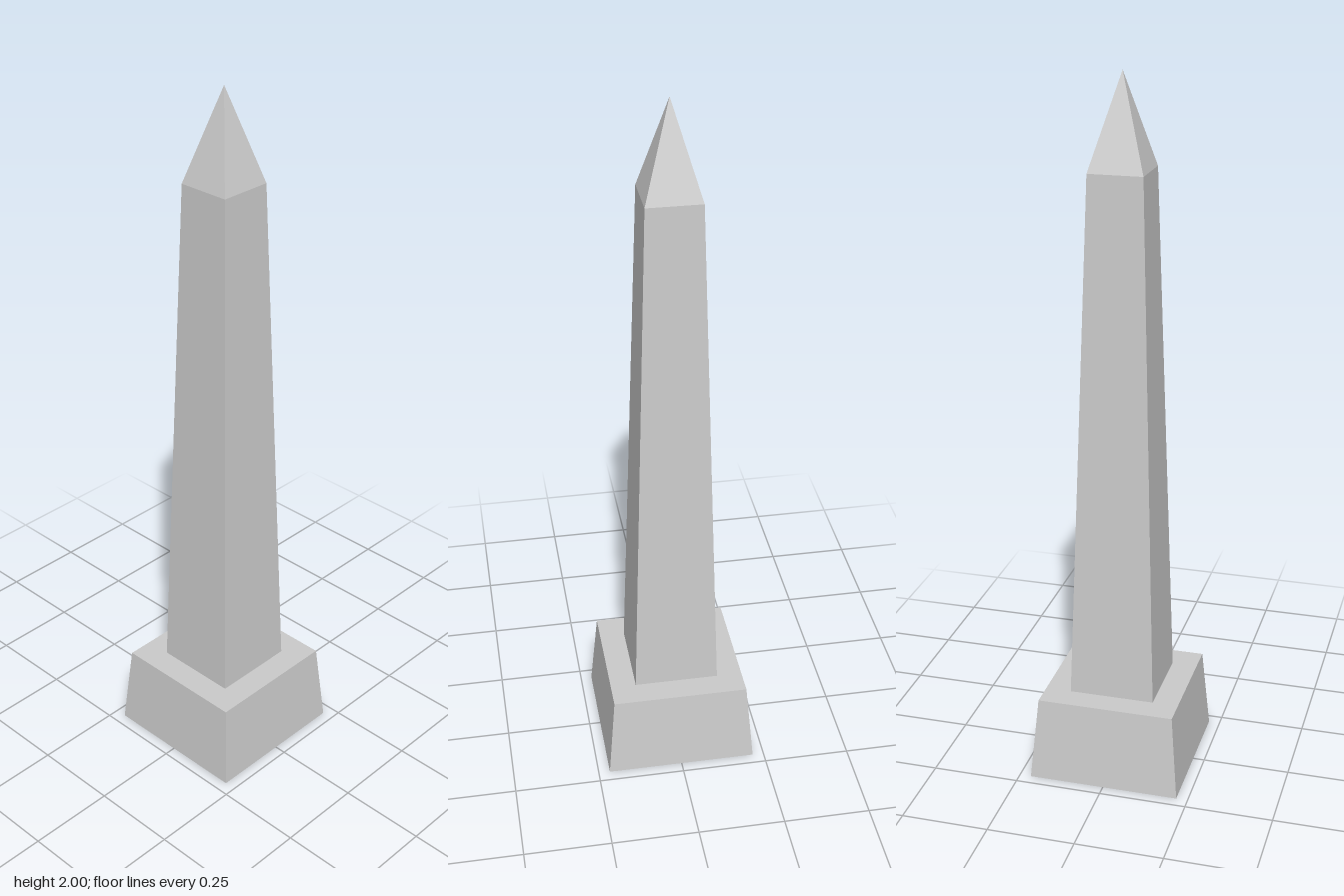
import * as THREE from 'three';

const material = new THREE.MeshStandardMaterial({ color: 0xcccccc, flatShading: true });

// Square tapered block from y0 to y1, given its half-widths at the bottom and top.
function taperedBlock(name, y0, y1, halfBottom, halfTop, open = false) {
  const geometry = new THREE.CylinderGeometry(
    halfTop * Math.SQRT2, halfBottom * Math.SQRT2, y1 - y0, 4, 1, open);
  geometry.rotateY(Math.PI / 4);
  geometry.translate(0, (y0 + y1) / 2, 0);
  const mesh = new THREE.Mesh(geometry, material);
  mesh.name = name;
  return mesh;
}

export function createModel() {
  const group = new THREE.Group();
  group.name = 'obelisk';

  const baseTop = 0.243;
  const shaftTop = 1.743;
  const shaftHalf = 0.076;

  group.add(
    // Wide pedestal with sloped sides
    taperedBlock('pedestal', 0, baseTop, 0.217, 0.196),
    // Tall tapering shaft, its ends hidden by the pedestal and the cap
    taperedBlock('shaft', baseTop, shaftTop, 0.122, shaftHalf, true),
    // Pointed pyramid cap
    taperedBlock('pyramidCap', shaftTop, 2, shaftHalf, 0, true),
  );
  return group;
}
